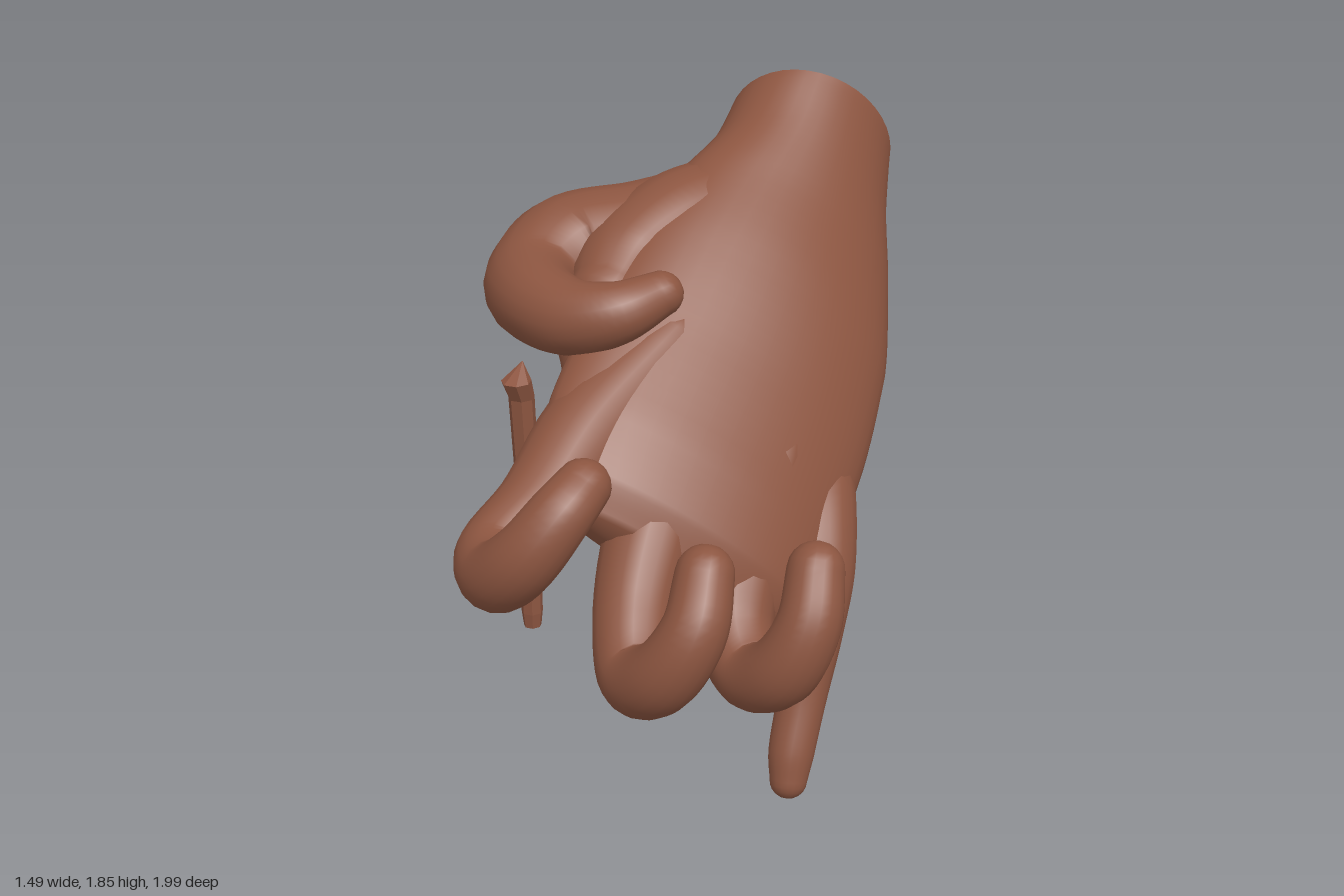
import * as THREE from 'three';

const V = (x, y, z) => new THREE.Vector3(x, y, z);

// Hand frame: along the arm, across the knuckles, out of the back of the hand
const ALONG = V(0.37, -0.52, 0.77).normalize();
const ACROSS = V(0.53, -0.57, -0.63).normalize();
const OUT = V().crossVectors(ALONG, ACROSS).normalize();
const hand = (a, s, n) =>
  V().addScaledVector(ALONG, a).addScaledVector(ACROSS, s).addScaledVector(OUT, n);

// Skins closed rings of points; flatStart gives the first ring a sharp flat cap
function loft(rings, start, end, flatStart = false) {
  const m = rings[0].length;
  const pts = rings.flat();
  const index = [];
  for (let i = 0; i < rings.length - 1; i++) {
    for (let j = 0; j < m; j++) {
      const k = (j + 1) % m;
      const a = i * m + j, b = i * m + k, c = a + m, d = b + m;
      index.push(a, b, d, a, d, c);
    }
  }
  const last = (rings.length - 1) * m;
  const endId = pts.push(end) - 1;
  const startId = pts.push(start) - 1;
  const first = flatStart ? pts.length : 0;
  if (flatStart) pts.push(...rings[0]);
  for (let j = 0; j < m; j++) {
    const k = (j + 1) % m;
    index.push(last + j, last + k, endId, first + k, first + j, startId);
  }
  const g = new THREE.BufferGeometry().setFromPoints(pts);
  g.setIndex(index);
  g.computeVertexNormals();
  return g;
}

// Round limb through [x, y, z, radius] points, with domed ends
function limb(points, steps = 40, sides = 18) {
  const path = new THREE.CatmullRomCurve3(points.map(p => V(p[0], p[1], p[2])));
  const size = new THREE.CatmullRomCurve3(points.map((p, i) => V(p[3], i * 0.1, 0)));
  const normal = V(0.31, 0.52, 0.79);
  const rings = [];
  const ring = (c, t, r) => {
    normal.addScaledVector(t, -normal.dot(t)).normalize();
    const side = V().crossVectors(t, normal);
    rings.push(Array.from({ length: sides }, (_, j) => {
      const q = (j / sides) * Math.PI * 2;
      return c.clone().addScaledVector(normal, r * Math.cos(q)).addScaledVector(side, r * Math.sin(q));
    }));
  };
  const dome = [0.3, 0.6, 0.9, 1.2];
  const c0 = path.getPoint(0), t0 = path.getTangent(0), r0 = points[0][3];
  const c1 = path.getPoint(1), t1 = path.getTangent(1), r1 = points[points.length - 1][3];
  for (const f of [...dome].reverse()) ring(c0.clone().addScaledVector(t0, -r0 * Math.sin(f)), t0, r0 * Math.cos(f));
  for (let i = 0; i <= steps; i++) {
    const u = i / steps;
    ring(path.getPoint(u), path.getTangent(u), size.getPoint(u).x);
  }
  for (const f of dome) ring(c1.clone().addScaledVector(t1, r1 * Math.sin(f)), t1, r1 * Math.cos(f));
  return loft(rings, c0.clone().addScaledVector(t0, -r0), c1.clone().addScaledVector(t1, r1));
}

// Wrist and palm: oval sections [along, across, out, half width, half thickness, slant]
function palmGeometry() {
  const sections = [
    [-1.58, -0.61, 0.67, 0.275, 0.255, 0.15],
    [-1.40, -0.59, 0.67, 0.305, 0.245, 0.1],
    [-1.20, -0.58, 0.675, 0.375, 0.23, 0.05],
    [-0.90, -0.57, 0.68, 0.45, 0.22, 0],
    [-0.60, -0.56, 0.67, 0.475, 0.2, 0],
    [-0.30, -0.56, 0.66, 0.475, 0.18, 0],
    [-0.10, -0.55, 0.66, 0.44, 0.145, 0],
    [0.00, -0.55, 0.66, 0.34, 0.085, 0],
  ];
  const centre = new THREE.CatmullRomCurve3(sections.map(p => V(p[0], p[1], p[2])));
  const shape = new THREE.CatmullRomCurve3(sections.map(p => V(p[3], p[4], p[5])));
  const rings = [];
  for (let i = 0; i <= 42; i++) {
    const c = centre.getPoint(i / 42), k = shape.getPoint(i / 42);
    rings.push(Array.from({ length: 40 }, (_, j) => {
      const q = (j / 40) * Math.PI * 2;
      const s = k.x * Math.cos(q), n = k.y * Math.sin(q) - 1.2 * k.z * s;
      return hand(c.x - k.z * (n + s), c.y + s, c.z + n);
    }));
  }
  return loft(rings, hand(-1.6, -0.61, 0.67), hand(0.03, -0.55, 0.66), true);
}

export function createModel() {
  const group = new THREE.Group();
  const skin = new THREE.MeshStandardMaterial({ color: 0x8c5540 });
  skin.name = 'brown skin';
  const add = (name, geometry) => {
    const mesh = new THREE.Mesh(geometry, skin);
    mesh.name = name;
    group.add(mesh);
  };

  add('palm', palmGeometry());

  // Thumb, folding round from the heel of the hand
  add('thumb', limb([
    [-0.24, 1.44, -0.6, 0.18], [-0.33, 1.4, -0.35, 0.215], [-0.44, 1.37, -0.12, 0.21],
    [-0.55, 1.36, 0.06, 0.195], [-0.51, 1.34, 0.23, 0.15], [-0.38, 1.34, 0.32, 0.125],
    [-0.22, 1.34, 0.33, 0.11], [-0.1, 1.37, 0.27, 0.09], [-0.05, 1.41, 0.15, 0.065],
  ], 56));
  // Flesh joining the thumb to the back and the edge of the hand
  add('thumbBase', limb([
    [-0.25, 1.49, -0.5, 0.16], [-0.34, 1.43, -0.22, 0.195], [-0.35, 1.37, 0.0, 0.165], [-0.3, 1.32, 0.13, 0.125],
  ], 24));
  add('thumbWeb', limb([
    [-0.5, 1.3, 0.06, 0.15], [-0.32, 1.24, 0.14, 0.145], [-0.14, 1.15, 0.26, 0.14],
    [-0.06, 1.03, 0.42, 0.12], [0, 0.94, 0.6, 0.09],
  ], 30));

  // Fingers, each starting as a knuckle ridge inside the palm
  add('indexFinger', limb([
    [-0.09, 1.23, 0.08, 0.12], [-0.07, 1.06, 0.4, 0.14], [0, 0.93, 0.65, 0.12], [0.03, 0.86, 0.83, 0.105],
    [0.13, 0.86, 0.895, 0.1], [0.24, 0.95, 0.89, 0.095], [0.295, 1.07, 0.81, 0.085], [0.29, 1.12, 0.73, 0.075],
  ]));
  add('middleFinger', limb([
    [0.04, 1.07, 0.11, 0.12], [0.14, 0.82, 0.36, 0.13], [0.24, 0.64, 0.52, 0.115], [0.36, 0.54, 0.615, 0.105],
    [0.49, 0.61, 0.635, 0.1], [0.555, 0.75, 0.585, 0.09], [0.51, 0.87, 0.505, 0.08],
  ]));
  add('ringFinger', limb([
    [0.18, 0.92, -0.05, 0.12], [0.27, 0.69, 0.14, 0.125], [0.36, 0.535, 0.25, 0.11], [0.48, 0.475, 0.305, 0.098],
    [0.61, 0.55, 0.31, 0.1], [0.66, 0.69, 0.265, 0.09], [0.62, 0.815, 0.2, 0.08],
  ]));
  add('littleFinger', limb([
    [0.13, 0.88, -0.3, 0.1], [0.25, 0.76, -0.17, 0.125], [0.35, 0.61, -0.08, 0.115], [0.4, 0.46, -0.02, 0.09],
    [0.43, 0.28, 0.05, 0.073], [0.455, 0.13, 0.115, 0.067], [0.47, 0.057, 0.14, 0.055],
  ]));

  // Separate thin spike with a flared head: [x, y, z, radius]
  const spike = [
    [-0.548, 0.2, 0.255, 0.028], [-0.548, 0.25, 0.255, 0.034], [-0.546, 0.65, 0.255, 0.032],
    [-0.542, 0.75, 0.262, 0.038], [-0.54, 0.98, 0.272, 0.04], [-0.533, 1.04, 0.295, 0.046],
  ].map(([x, y, z, r]) => Array.from({ length: 7 }, (_, j) => {
    const q = (j / 7) * Math.PI * 2;
    return V(x + r * Math.sin(q), y, z + r * Math.cos(q));
  }));
  const spikeGeometry = loft(spike, V(-0.548, 0.185, 0.255), V(-0.55, 1.09, 0.255)).toNonIndexed();
  spikeGeometry.computeVertexNormals();
  add('spike', spikeGeometry);

  return group;
}
